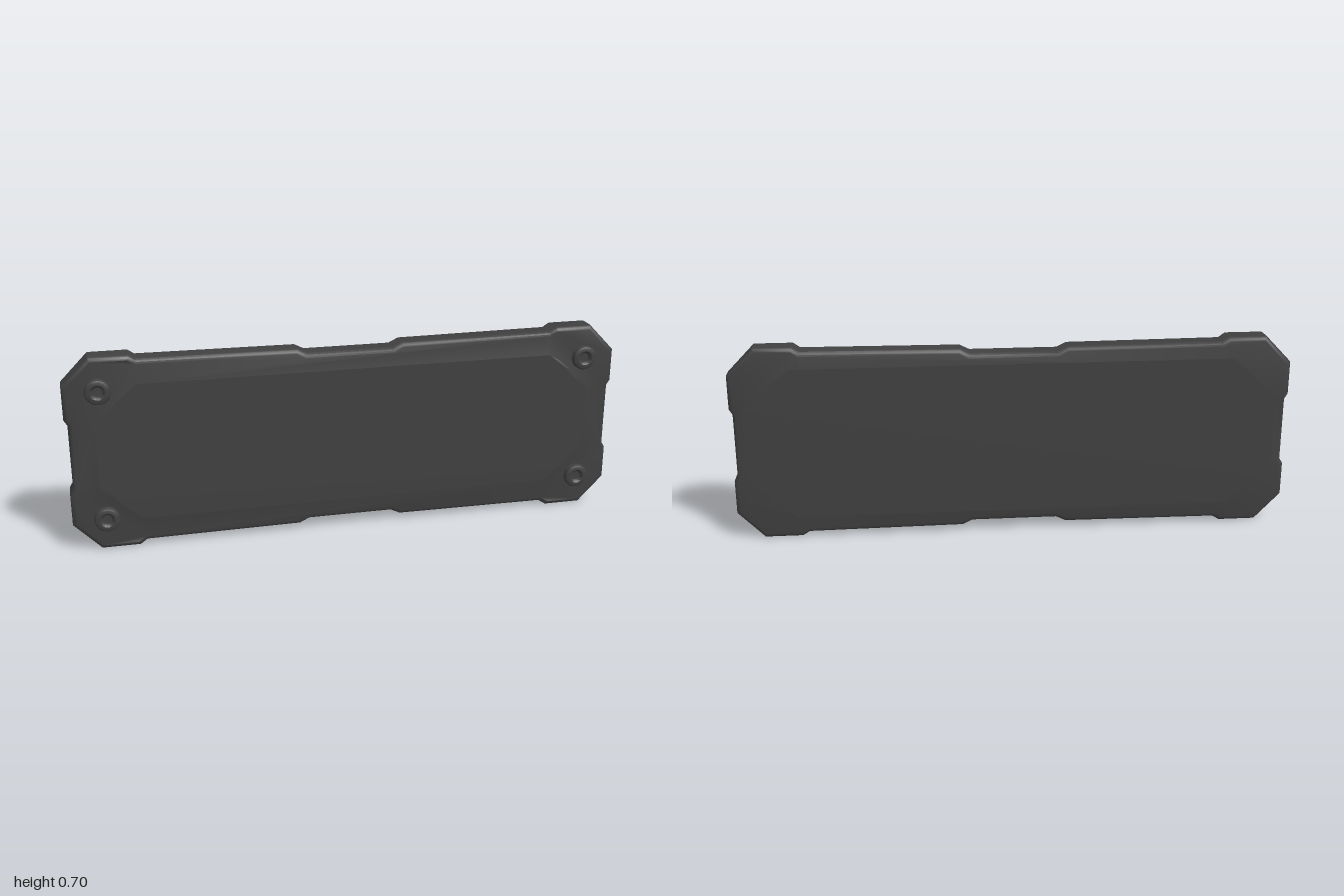
import * as THREE from 'three';
import { toCreasedNormals } from 'three/addons/utils/BufferGeometryUtils.js';

const MID_Y = 0.3525;

// Mirrors one quadrant (running from the top middle to the right middle) into a closed loop
function mirrorLoop(quarter, scale = 1) {
  const right = [...quarter, ...[...quarter].reverse().map(([x, y]) => [x, -y])];
  const all = [...right, ...[...right].reverse().map(([x, y]) => [-x, y])];
  return all.map(([x, y]) => new THREE.Vector2(x * scale, y * scale));
}

export function createModel() {
  const group = new THREE.Group();
  group.name = 'armouredPanel';
  const charcoal = new THREE.MeshStandardMaterial({ color: 0x404040 });
  charcoal.name = 'charcoal';

  function add(name, geometry, x = 0, y = 0, z = 0) {
    const mesh = new THREE.Mesh(geometry, charcoal);
    mesh.name = name;
    mesh.position.set(x, MID_Y + y, z);
    group.add(mesh);
  }

  // Frame outline: notched middle, stepped rails, chamfered corner guards
  const outer = [
    [0.155, 0.316], [0.19, 0.333], [0.745, 0.337], [0.77, 0.3525],
    [0.905, 0.3525], [1.0, 0.255], [1.0, 0.135], [0.988, 0.115],
  ];
  const inner = [[0.755, 0.265], [0.83, 0.205], [0.862, 0.168], [0.915, 0.125]];

  // Frame with rounded edges; its rails sit slightly lower than its corner guards
  const frameShape = new THREE.Shape(mirrorLoop(outer));
  frameShape.holes.push(new THREE.Path(mirrorLoop(inner)));
  const bevel = 0.02;
  const frame = new THREE.ExtrudeGeometry(frameShape, {
    depth: 0.095 - 2 * bevel, bevelThickness: bevel, bevelSize: 0.016,
    bevelOffset: -0.016, bevelSegments: 4,
  });
  frame.translate(0, 0, -0.055 + bevel);
  const p = frame.attributes.position;
  for (let i = 0; i < p.count; i++) {
    if (Math.abs(p.getX(i)) < 0.757 && p.getZ(i) > 0.01) p.setZ(i, p.getZ(i) - 0.006);
  }
  add('frame', toCreasedNormals(frame, 0.6));

  // Recessed panel, closing the frame and flush with its back
  const panel = new THREE.ExtrudeGeometry(new THREE.Shape(mirrorLoop(inner, 1.04)), {
    depth: 0.0755, bevelEnabled: false,
  });
  add('panel', panel, 0, 0, -0.0555);

  // Corner screws: rounded head with a dished socket
  const profile = [
    [0.045, 0], [0.045, 0.012], [0.042, 0.018], [0.036, 0.021],
    [0.026, 0.021], [0.021, 0.017], [0.017, 0.009], [0, 0.008],
  ].map(([r, h]) => new THREE.Vector2(r, h));
  const screw = toCreasedNormals(new THREE.LatheGeometry(profile, 28).rotateX(Math.PI / 2), 0.6);
  for (const sx of [-1, 1]) {
    for (const sy of [-1, 1]) {
      const name = (sy > 0 ? 'top' : 'bottom') + (sx > 0 ? 'Left' : 'Right') + 'Screw';
      add(name, screw, sx * 0.88, sy * 0.235, 0.038);
    }
  }
  return group;
}
